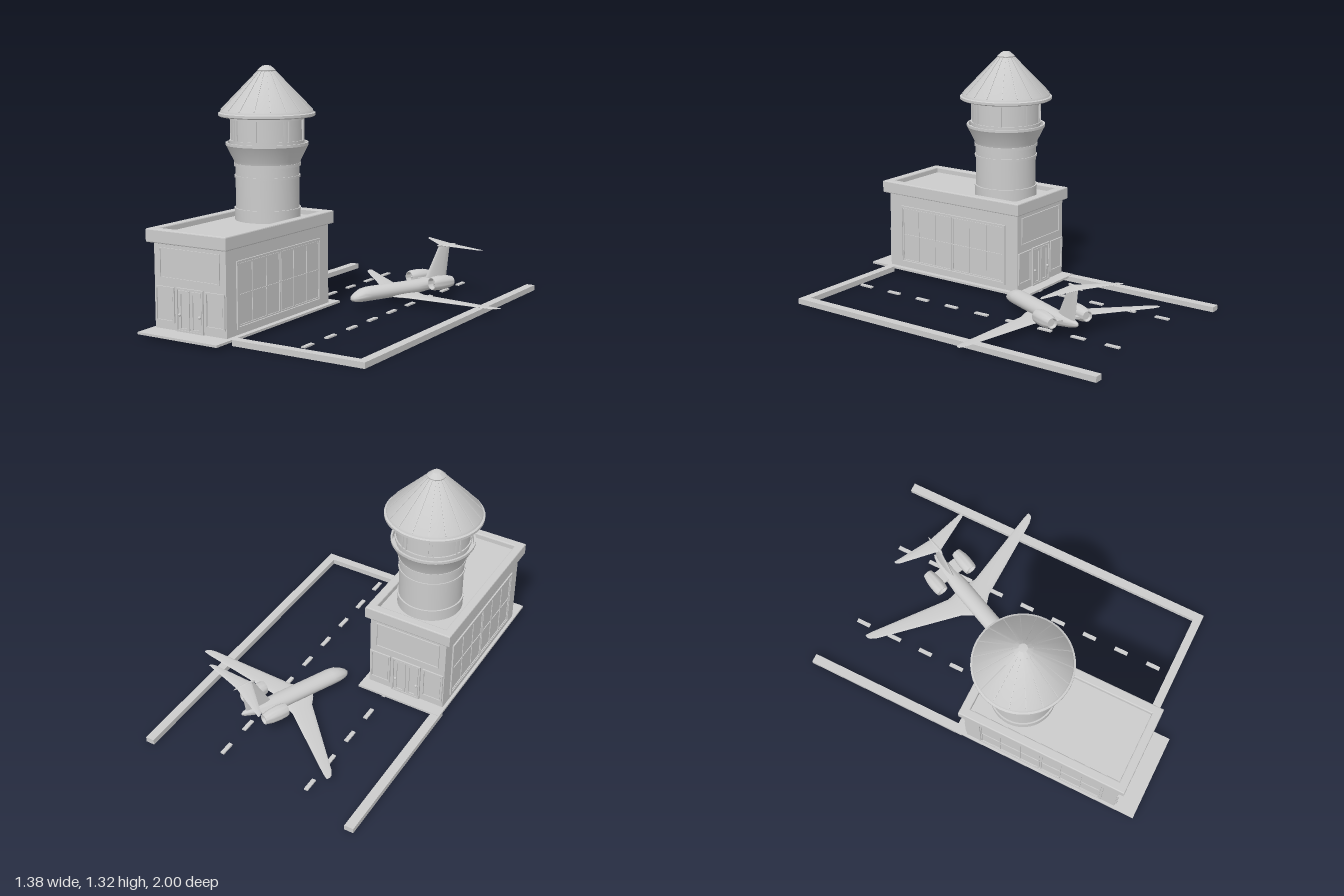
import * as THREE from 'three';
import { toCreasedNormals } from 'three/addons/utils/BufferGeometryUtils.js';

const V = (x, y, z) => new THREE.Vector3(x, y, z);
const material = new THREE.MeshStandardMaterial({ color: 0xcccccc, roughness: 0.8 });

function add(parent, name, geometry, x = 0, y = 0, z = 0) {
  const mesh = new THREE.Mesh(geometry, material);
  mesh.name = name;
  mesh.position.set(x, y, z);
  parent.add(mesh);
  return mesh;
}

// Box given by its minimum and maximum corners
function box(parent, name, x0, x1, y0, y1, z0, z1) {
  return add(parent, name, new THREE.BoxGeometry(x1 - x0, y1 - y0, z1 - z0),
    (x0 + x1) / 2, (y0 + y1) / 2, (z0 + z1) / 2);
}

function lathe(profile, segments = 48) {
  const points = profile.map(([r, y]) => new THREE.Vector2(r, y));
  return toCreasedNormals(new THREE.LatheGeometry(points, segments), 0.5);
}

// Rectangular ring standing in the xy plane, centred, from z = 0 forward
function ringGeometry(w, h, border, depth, bevel = 0) {
  const rect = (Type, a, b) => new Type([[-a, -b], [a, -b], [a, b], [-a, b]].map(p => new THREE.Vector2(...p)));
  const shape = rect(THREE.Shape, w / 2 - bevel, h / 2 - bevel);
  shape.holes.push(rect(THREE.Path, w / 2 - border + bevel, h / 2 - border + bevel));
  return new THREE.ExtrudeGeometry(shape, {
    depth: depth - 2 * bevel, bevelEnabled: bevel > 0, bevelSize: bevel, bevelThickness: bevel, bevelSegments: 2,
  }).translate(0, 0, bevel);
}

// Skin over elliptical sections [centre, half axis a, half axis b]; a x b points along the loft
function loft(sections, n = 24) {
  const pos = [], index = [];
  for (const [c, a, b] of sections) {
    for (let j = 0; j < n; j++) {
      const t = (j / n) * Math.PI * 2;
      pos.push(...c.clone().addScaledVector(a, Math.cos(t)).addScaledVector(b, Math.sin(t)).toArray());
    }
  }
  const last = sections.length - 1, c0 = (last + 1) * n;
  pos.push(...sections[0][0].toArray(), ...sections[last][0].toArray());
  for (let j = 0; j < n; j++) {
    const k = (j + 1) % n;
    for (let i = 0; i < last; i++) {
      const p = i * n, q = p + n;
      index.push(p + j, p + k, q + k, p + j, q + k, q + j);
    }
    index.push(c0, k, j, c0 + 1, last * n + j, last * n + k);
  }
  const g = new THREE.BufferGeometry();
  g.setAttribute('position', new THREE.Float32BufferAttribute(pos, 3));
  g.setIndex(index);
  return toCreasedNormals(g, 0.7);
}

function createGround() {
  const g = new THREE.Group();
  g.name = 'runway';
  box(g, 'buildingSlab', -0.67, -0.18, 0.018, 0.03, -0.09, 1);
  box(g, 'leftKerb', -0.67, -0.62, 0, 0.028, -1, -0.05);
  box(g, 'rightKerb', 0.52, 0.568, 0, 0.03, -1, 0.88);
  box(g, 'frontKerb', -0.18, 0.52, 0, 0.03, 0.833, 0.88);
  for (const x of [-0.335, 0.167])
    for (let i = 0; i < 9; i++) {
      const z = -0.89 + i * 0.199;
      box(g, 'runwayDash', x - 0.011, x + 0.011, 0.016, 0.024, z, z + 0.08);
    }
  return g;
}

// Short wall: sign panel, two windows and a double door
function createEndWall() {
  const g = new THREE.Group();
  g.name = 'endWall';
  add(g, 'signFrame', ringGeometry(0.372, 0.152, 0.005, 0.006), 0, 0.365, 0);
  for (const s of [-1, 1]) {
    add(g, 'windowFrame', ringGeometry(0.12, 0.18, 0.01, 0.008), s * 0.156, 0.157, 0);
    box(g, 'windowPane', s * 0.156 - 0.046, s * 0.156 + 0.046, 0.078, 0.236, 0, 0.004);
    add(g, 'doorLeaf', ringGeometry(0.068, 0.205, 0.016, 0.006), s * 0.037, 0.135, 0);
    add(g, 'doorHandle', new THREE.SphereGeometry(0.008, 12, 8), s * 0.062, 0.115, 0.008);
  }
  add(g, 'doorFrame', ringGeometry(0.168, 0.22, 0.009, 0.009), 0, 0.14, 0);
  return g;
}

// Long wall: wide hangar door with two panelled leaves
function createSideWall() {
  const g = new THREE.Group();
  g.name = 'sideWall';
  add(g, 'hangarDoorFrame', ringGeometry(0.74, 0.34, 0.012, 0.008), 0, 0.228, 0);
  for (const s of [-1, 1]) {
    add(g, 'hangarDoorLeaf', ringGeometry(0.352, 0.312, 0.007, 0.005), s * 0.18, 0.228, 0);
    for (const x of [0.12, 0.24]) box(g, 'verticalBar', s * x - 0.002, s * x + 0.002, 0.075, 0.382, 0, 0.004);
  }
  box(g, 'middleBar', -0.355, 0.355, 0.226, 0.23, 0, 0.004);
  return g;
}

function createBuilding() {
  const g = new THREE.Group(), cx = -0.432, cz = 0.43;
  g.name = 'terminal';
  box(g, 'walls', cx - 0.222, cx + 0.222, 0.028, 0.47, cz - 0.45, cz + 0.45);
  box(g, 'flatRoof', cx - 0.215, cx + 0.215, 0.465, 0.505, cz - 0.45, cz + 0.45);
  add(g, 'parapet', ringGeometry(0.494, 0.95, 0.048, 0.07, 0.006).rotateX(-Math.PI / 2), cx, 0.465, 0.437);
  for (const s of [-1, 1]) {
    const end = createEndWall(), side = createSideWall();
    end.position.set(cx, 0, cz + s * 0.45);
    end.rotation.y = s > 0 ? 0 : Math.PI;
    side.position.set(cx + s * 0.222, 0, cz);
    side.rotation.y = s * Math.PI / 2;
    g.add(end, side);
  }
  return g;
}

function createTower() {
  const g = new THREE.Group();
  g.name = 'controlTower';
  g.position.set(-0.434, 0, 0.218);
  add(g, 'shaft', lathe([[0.173, 0.5], [0.173, 0.562], [0.176, 0.562], [0.176, 0.57], [0.168, 0.57], [0.168, 0.73],
    [0.174, 0.73], [0.174, 0.742], [0.169, 0.742], [0.169, 0.79], [0.176, 0.79], [0.176, 0.806], [0.168, 0.806], [0.168, 0.83]]));
  add(g, 'flaredGallery', lathe([[0.16, 0.806], [0.173, 0.806], [0.177, 0.82], [0.212, 0.89], [0.218, 0.9],
    [0.218, 0.914], [0.208, 0.914], [0.205, 0.89], [0.18, 0.89]]));
  add(g, 'cabin', lathe([[0.19, 0.88], [0.19, 1.06]]));
  for (const y of [0.92, 1.042])
    add(g, 'cabinBand', lathe([[0.19, y - 0.007], [0.197, y - 0.007], [0.197, y + 0.007], [0.19, y + 0.007]]));
  // Window mullions
  for (let i = 0; i < 8; i++) {
    const a = (i + 0.5) * Math.PI / 4;
    for (const d of [-0.07, 0.07]) {
      const bar = add(g, 'mullion', new THREE.BoxGeometry(0.009, 0.125, 0.01),
        Math.sin(a + d) * 0.191, 0.98, Math.cos(a + d) * 0.191);
      bar.rotation.y = a + d;
    }
  }
  add(g, 'roof', lathe([[0, 1.05], [0.247, 1.05], [0.255, 1.055], [0.255, 1.068], [0.245, 1.072], [0.241, 1.084],
    [0.046, 1.284], [0.048, 1.29], [0.022, 1.312], [0, 1.315]]));
  // Roof seams
  for (let i = 0; i < 18; i++) {
    const arm = new THREE.Group();
    arm.name = 'roofSeam';
    arm.rotation.y = (i + 0.5) * Math.PI / 9;
    add(arm, 'seamStrip', new THREE.BoxGeometry(0.005, 0.278, 0.004), 0.144, 1.184, 0)
      .rotation.z = Math.atan2(0.195, 0.2);
    g.add(arm);
  }
  return g;
}

// Airliner with its nose at the local origin, pointing along +z
function createAirplane() {
  const g = new THREE.Group();
  g.name = 'airplane';
  g.position.set(-0.085, 0, -0.05);
  g.rotation.y = -0.426;
  // [distance behind nose, centre height, half width, half height]
  const body = [[0, 0.056, 0.004, 0.003], [0.012, 0.058, 0.022, 0.016], [0.035, 0.063, 0.036, 0.026],
    [0.07, 0.07, 0.046, 0.036], [0.11, 0.073, 0.05, 0.039], [0.42, 0.073, 0.05, 0.039], [0.52, 0.079, 0.042, 0.034],
    [0.61, 0.089, 0.026, 0.024], [0.66, 0.095, 0.013, 0.014], [0.675, 0.096, 0.004, 0.005]];
  add(g, 'fuselage', loft(body.map(([s, y, rx, ry]) => [V(0, y, -s), V(rx, 0, 0), V(0, -ry, 0)])));
  for (const m of [-1, 1]) {
    // [span, leading edge, trailing edge, height, half thickness]
    const wing = list => loft(list.map(([x, le, te, y, t]) =>
      [V(m * x, y, -(le + te) / 2), V(0, t, 0), V(0, 0, m * (te - le) / 2)]), 16);
    add(g, 'wing', wing([[0, 0.23, 0.44, 0.045, 0.011], [0.055, 0.262, 0.428, 0.044, 0.009], [0.1, 0.3, 0.425, 0.043, 0.007],
      [0.56, 0.495, 0.545, 0.048, 0.003], [0.59, 0.515, 0.55, 0.05, 0.002], [0.6, 0.53, 0.55, 0.051, 0.001]]));
    add(g, 'tailplane', wing([[0, 0.605, 0.695, 0.286, 0.005], [0.225, 0.69, 0.715, 0.285, 0.002], [0.24, 0.705, 0.717, 0.285, 0.001]]));
    // Engine nacelle with open intake, spinner and pylon
    add(g, 'engine', lathe([[0, -0.055], [0.02, -0.055], [0.024, -0.07], [0.028, -0.07], [0.037, -0.03], [0.04, 0.015],
      [0.038, 0.055], [0.034, 0.069], [0.03, 0.069], [0.028, 0.04], [0.01, 0.04], [0, 0.06]], 28).rotateX(Math.PI / 2),
    m * 0.104, 0.102, -0.535);
    box(g, 'enginePylon', m * 0.052 - 0.022, m * 0.052 + 0.022, 0.09, 0.102, -0.585, -0.5);
  }
  // [height, leading edge, trailing edge, half thickness]
  const fin = [[0.085, 0.47, 0.645, 0.013], [0.12, 0.505, 0.65, 0.011], [0.285, 0.595, 0.672, 0.007]];
  add(g, 'tailFin', loft(fin.map(([y, le, te, t]) => [V(0, y, -(le + te) / 2), V(0, 0, (te - le) / 2), V(t, 0, 0)]), 16));
  const bullet = [[0.582, 0.001], [0.6, 0.008], [0.65, 0.009], [0.7, 0.004], [0.715, 0.001]];
  add(g, 'tailFairing', loft(bullet.map(([s, r]) => [V(0, 0.286, -s), V(r, 0, 0), V(0, -r, 0)]), 12));
  return g;
}

export function createModel() {
  const model = new THREE.Group();
  model.name = 'airport';
  model.add(createGround(), createBuilding(), createTower(), createAirplane());
  return model;
}
